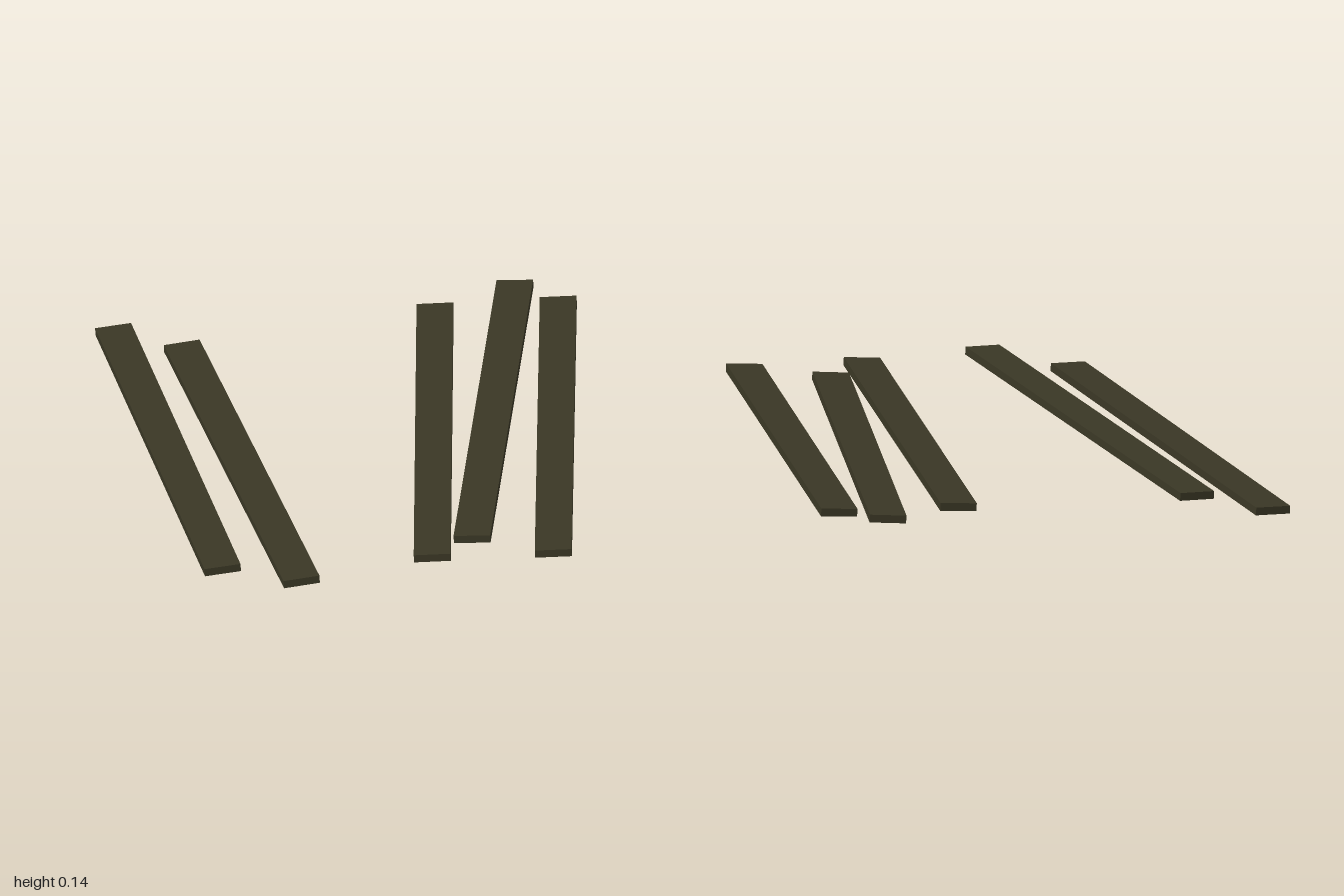
import * as THREE from 'three';

const WIDTH = 0.105;
const THICKNESS = 0.023;

// Centre of each plank's back end and front end: [x, y, z]
const PLANKS = [
  [[0.018, 0.014, -0.966], [-0.894, 0.083, 0.256]],
  [[0.05, 0.034, -0.733], [-0.834, 0.113, 0.504]],
  [[0.644, 0.074, -0.293], [-0.501, 0.125, 0.707]],
  [[0.887, 0.08, -0.203], [-0.335, 0.117, 0.712]],
  [[0.897, 0.081, -0.047], [-0.256, 0.128, 0.952]],
];

export function createModel() {
  const group = new THREE.Group();
  group.name = 'scatteredPlanks';
  const wood = new THREE.MeshStandardMaterial({ color: 0x3a3725 });
  wood.name = 'dark weathered wood';

  // All planks rest on the same gentle slope
  const slopeNormal = new THREE.Vector3(-0.01, 1, -0.062).normalize();

  PLANKS.forEach(([back, front], i) => {
    const a = new THREE.Vector3(...back);
    const b = new THREE.Vector3(...front);
    const along = b.clone().sub(a);
    const length = along.length();
    along.normalize();
    const across = new THREE.Vector3().crossVectors(slopeNormal, along).normalize();
    const up = new THREE.Vector3().crossVectors(along, across);

    const plank = new THREE.Mesh(new THREE.BoxGeometry(WIDTH, THICKNESS, length), wood);
    plank.name = `plank${i + 1}`;
    plank.quaternion.setFromRotationMatrix(new THREE.Matrix4().makeBasis(across, up, along));
    plank.position.copy(a).add(b).multiplyScalar(0.5);
    group.add(plank);
  });
  return group;
}
